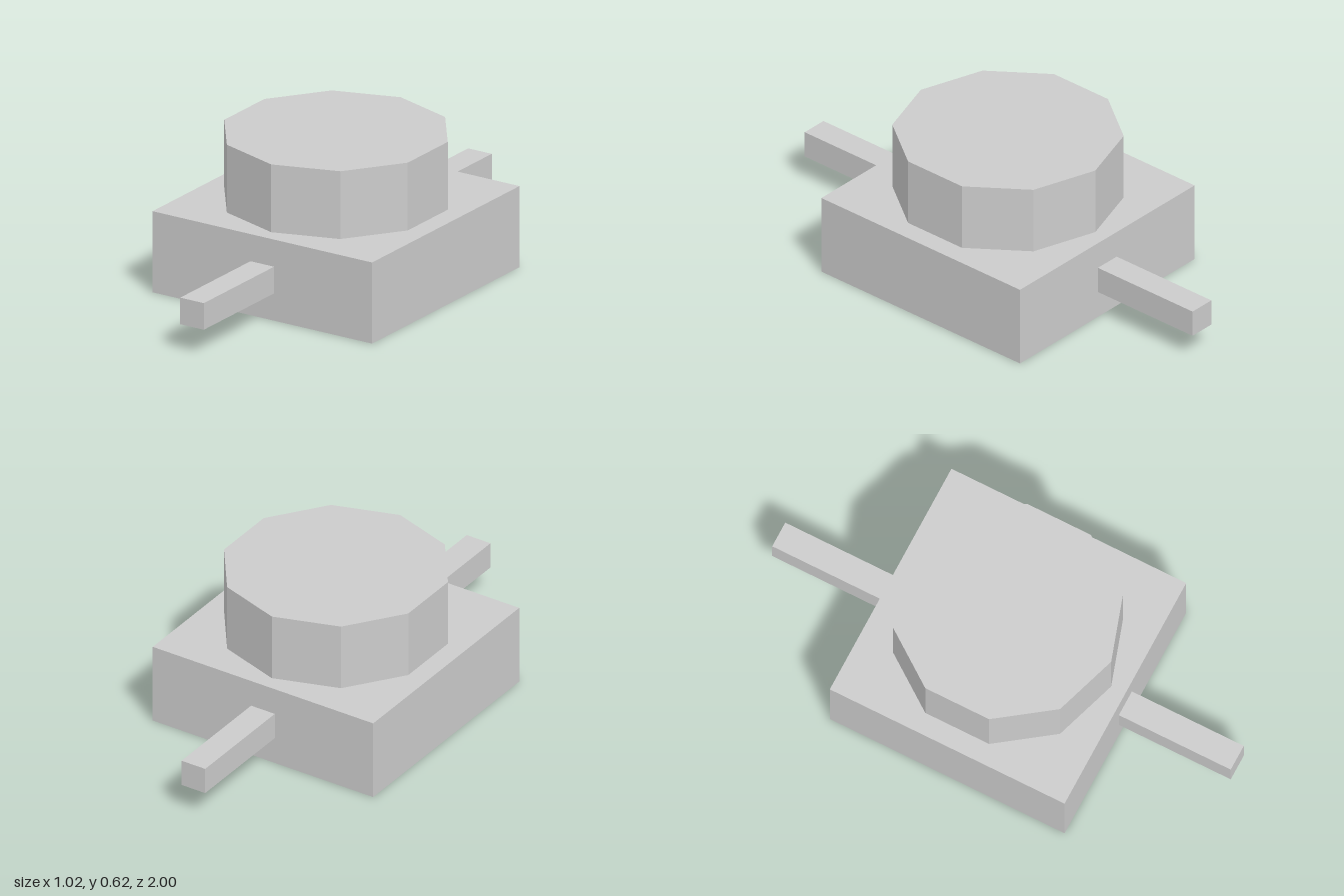
import * as THREE from 'three';

export function createModel() {
  const model = new THREE.Group();
  const material = new THREE.MeshStandardMaterial({ color: 0xcccccc, flatShading: true });

  const baseSize = 1.024, baseHeight = 0.335;
  const capRadius = 0.45, capHeight = 0.28;
  const barSize = 0.11, barY = 0.168;

  const add = (name, geometry, x, y, z) => {
    const mesh = new THREE.Mesh(geometry, material);
    mesh.name = name;
    mesh.position.set(x, y, z);
    model.add(mesh);
  };

  // Square base block
  add('base', new THREE.BoxGeometry(baseSize, baseHeight, baseSize), 0, baseHeight / 2, 0);

  // Ten-sided cap, with one corner facing the front
  add('cap', new THREE.CylinderGeometry(capRadius, capRadius, capHeight, 10), 0, baseHeight + capHeight / 2, 0);

  // Square bars sticking out of the front and back
  const barLength = 1 - baseSize / 2;
  for (const [name, side] of [['frontBar', 1], ['backBar', -1]]) {
    add(name, new THREE.BoxGeometry(barSize, barSize, barLength), 0, barY, side * (1 - barLength / 2));
  }

  return model;
}
